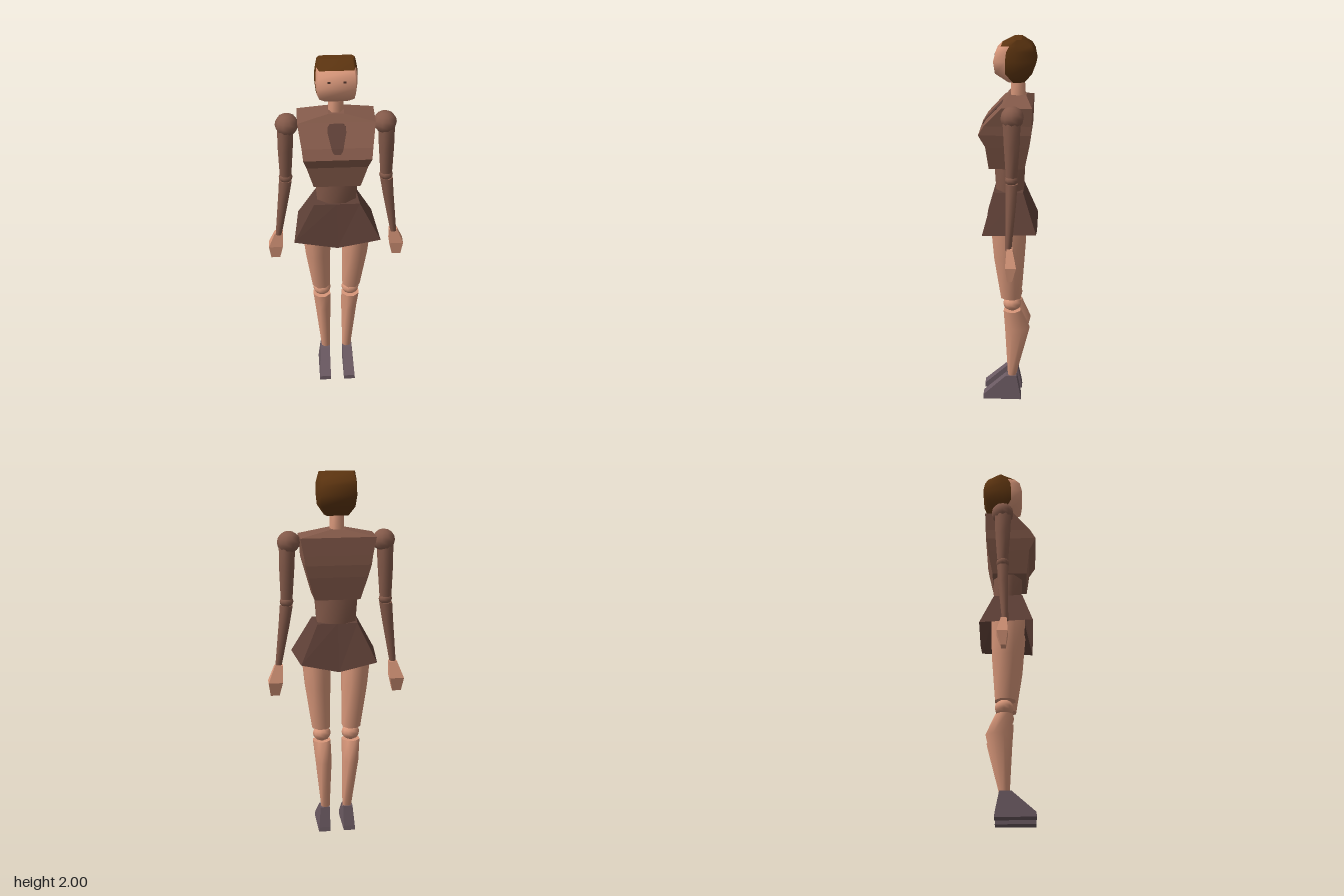
import * as THREE from 'three';

const paint = (name, color, side = THREE.FrontSide) => {
  const m = new THREE.MeshStandardMaterial({ color, side });
  m.name = name;
  return m;
};

// Cross-section outlines as [x, z] factors, running from front left round to the right
const BOX = [[-1, 1], [1, 1], [1, -1], [-1, -1]];
const HEAD = [[-0.85, 1], [0.85, 1], [0.96, 0.45], [1, 0], [0.85, -1], [-0.85, -1], [-1, 0], [-0.96, 0.45]];
const round = (n) => Array.from({ length: n }, (_, i) => {
  const a = ((i - 0.5) / n) * Math.PI * 2, r = 1 / Math.cos(Math.PI / n);
  return [Math.sin(a) * r, Math.cos(a) * r];
});
const OCT = round(8), HEX = round(6);

// Joins levels [y, centreX, halfWidth, zFront, zBack], listed bottom to top
function loft(outline, levels, { flat = false, caps = true, slot = () => 0, bend = () => 0 } = {}) {
  const n = outline.length, pos = [], faces = [[], []];
  const addRing = ([y, cx, hw, zf, zb], row) => outline.forEach(([x, z], i) =>
    pos.push(cx + x * hw, y + bend(row, i), (zf + zb) / 2 + (z * (zf - zb)) / 2));
  levels.forEach(addRing);
  for (let r = 0; r < levels.length - 1; r++) {
    for (let i = 0; i < n; i++) {
      const a = r * n + i, b = r * n + ((i + 1) % n);
      faces[slot(r, i)].push(a, b, b + n, a, b + n, a + n);
    }
  }
  if (caps) {
    const low = pos.length / 3, high = low + n, last = levels.length - 1;
    addRing(levels[0], 0);
    addRing(levels[last], last);
    for (let i = 1; i < n - 1; i++) {
      faces[0].push(low, low + i + 1, low + i);
      faces[slot(last, i)].push(high, high + i, high + i + 1);
    }
  }
  let geo = new THREE.BufferGeometry();
  geo.setAttribute('position', new THREE.Float32BufferAttribute(pos, 3));
  geo.setIndex([...faces[0], ...faces[1]]);
  if (faces[1].length) {
    geo.addGroup(0, faces[0].length, 0);
    geo.addGroup(faces[0].length, faces[1].length, 1);
  }
  if (flat) geo = geo.toNonIndexed();
  geo.computeVertexNormals();
  return geo;
}

export function createModel() {
  const model = new THREE.Group();
  model.name = 'figure';
  const skin = paint('skin', 0xd8977a);
  const hair = paint('hair brown', 0x5c3410);
  const cloth = paint('jacket brown', 0x845a4a);
  const dark = paint('skirt brown', 0x5f4037, THREE.DoubleSide);
  const leather = paint('shoe grey', 0x6b5a62);
  const ink = paint('eye brown', 0x4a3028);

  const add = (name, geo, mat, parent = model) => {
    const m = new THREE.Mesh(geo, mat);
    m.name = name;
    parent.add(m);
    return m;
  };
  const ball = (name, mat, parent, x, y, z, rx, ry, rz) => {
    const m = add(name, new THREE.SphereGeometry(1, 10, 8), mat, parent);
    m.position.set(x, y, z);
    m.scale.set(rx, ry, rz);
  };

  // Head: face panels at the front, hair over the top, sides and back
  const headLevels = [
    [1.78, 0, 0.065, 0.0, -0.08],
    [1.83, 0, 0.1, 0.068, -0.12],
    [1.89, 0, 0.107, 0.077, -0.142],
    [1.94, 0, 0.105, 0.065, -0.132],
    [1.968, 0, 0.1, 0.038, -0.116],
    [2.0, 0, 0.093, -0.025, -0.065],
  ];
  const isHair = (row, i) => (row >= 4 || (i > 1 && i < 7) ? 1 : 0);
  add('head', loft(HEAD, headLevels, { slot: isHair }), [skin, hair]);
  for (const s of [-1, 1]) {
    const eye = add(s > 0 ? 'leftEye' : 'rightEye', new THREE.BoxGeometry(0.014, 0.008, 0.004), ink);
    eye.position.set(s * 0.038, 1.922, 0.0695);
    eye.rotation.x = -0.24;
  }
  add('neck', loft(HEX, [[1.68, 0, 0.034, -0.01, -0.085], [1.8, 0, 0.032, -0.01, -0.08]]), skin);

  // Jacket with sloped shoulders and full chest
  add('jacket', loft(BOX, [
    [1.34, 0, 0.12, 0.1, -0.085],
    [1.465, 0, 0.155, 0.115, -0.11],
    [1.53, 0, 0.172, 0.15, -0.12],
    [1.58, 0, 0.178, 0.12, -0.122],
    [1.675, 0, 0.196, 0.03, -0.125],
    [1.71, 0, 0.04, 0.0, -0.09],
  ], { flat: true }), cloth);

  // Thin teardrop patch following the chest slope
  const chestZ = (y) => (y < 1.58 ? 0.15 - (y - 1.53) * 0.6 : 0.12 - (y - 1.58) * 0.947);
  add('chestPatch', loft(BOX, [
    [1.555, 0.015], [1.565, 0.024], [1.58, 0.03], [1.61, 0.038], [1.64, 0.047], [1.66, 0.045], [1.672, 0.034],
  ].map(([y, w]) => [y, 0, w, chestZ(y) + 0.004, chestZ(y) - 0.003]), { flat: true }), dark);

  add('waist', loft(OCT, [[1.19, 0, 0.1, 0.065, -0.078], [1.35, 0, 0.112, 0.075, -0.083]]), cloth);

  // Flared skirt, its hem dipping at the middle of front and back
  const skirtOutline = [[-1, 1], [0, 1], [1, 1], [0.88, -1], [0, -1], [-0.88, -1]];
  add('skirt', loft(skirtOutline, [
    [1.01, 0, 0.228, 0.13, -0.15],
    [1.21, 0, 0.12, 0.075, -0.078],
  ], { flat: true, caps: false, bend: (row, i) => (row === 0 && i % 3 === 1 ? -0.045 : 0) }), dark);
  add('skirtTop', loft(skirtOutline, [
    [1.2, 0, 0.12, 0.074, -0.077], [1.21, 0, 0.12, 0.075, -0.078],
  ], { flat: true }), dark);

  for (const s of [-1, 1]) {
    const side = (levels) => levels.map(([y, x, ...rest]) => [y, x * s, ...rest]);
    const label = s > 0 ? 'left' : 'right';

    // Arm
    const arm = new THREE.Group();
    arm.name = label + 'Arm';
    model.add(arm);
    ball('shoulder', cloth, arm, s * 0.248, 1.64, -0.028, 0.06, 0.058, 0.06);
    add('upperArm', loft(OCT, side([
      [1.34, 0.262, 0.03, 0.002, -0.055],
      [1.5, 0.259, 0.038, 0.012, -0.066],
      [1.62, 0.256, 0.041, 0.018, -0.07],
    ])), cloth, arm);
    ball('elbow', cloth, arm, s * 0.262, 1.325, -0.026, 0.036, 0.03, 0.034);
    add('forearm', loft(OCT, side([
      [0.965, 0.31, 0.016, 0.004, -0.028],
      [1.2, 0.277, 0.028, 0.002, -0.05],
      [1.305, 0.264, 0.033, 0.003, -0.056],
    ])), cloth, arm);
    add('hand', loft(BOX, side([
      [0.808, 0.331, 0.024, -0.008, -0.033],
      [0.885, 0.328, 0.038, 0.002, -0.055],
      [0.975, 0.308, 0.022, -0.004, -0.034],
    ]), { flat: true }), skin, arm);

    // Leg
    const leg = new THREE.Group();
    leg.name = label + 'Leg';
    model.add(leg);
    add('thigh', loft(OCT, side([
      [0.612, 0.083, 0.048, 0.038, -0.068],
      [0.85, 0.1, 0.066, 0.073, -0.085],
      [1.06, 0.11, 0.077, 0.09, -0.088],
    ])), skin, leg);
    ball('knee', skin, leg, s * 0.079, 0.577, -0.021, 0.049, 0.042, 0.05);
    add('shin', loft(OCT, side([
      [0.13, 0.06, 0.023, 0.003, -0.04],
      [0.43, 0.074, 0.042, 0.018, -0.115],
      [0.537, 0.08, 0.047, 0.025, -0.065],
    ])), skin, leg);
    add('shoe', loft(BOX, side([
      [0, 0.07, 0.032, 0.14, -0.07],
      [0.025, 0.069, 0.031, 0.139, -0.067],
      [0.137, 0.064, 0.026, 0.015, -0.045],
    ]), { flat: true }), leather, leg);
  }
  return model;
}
